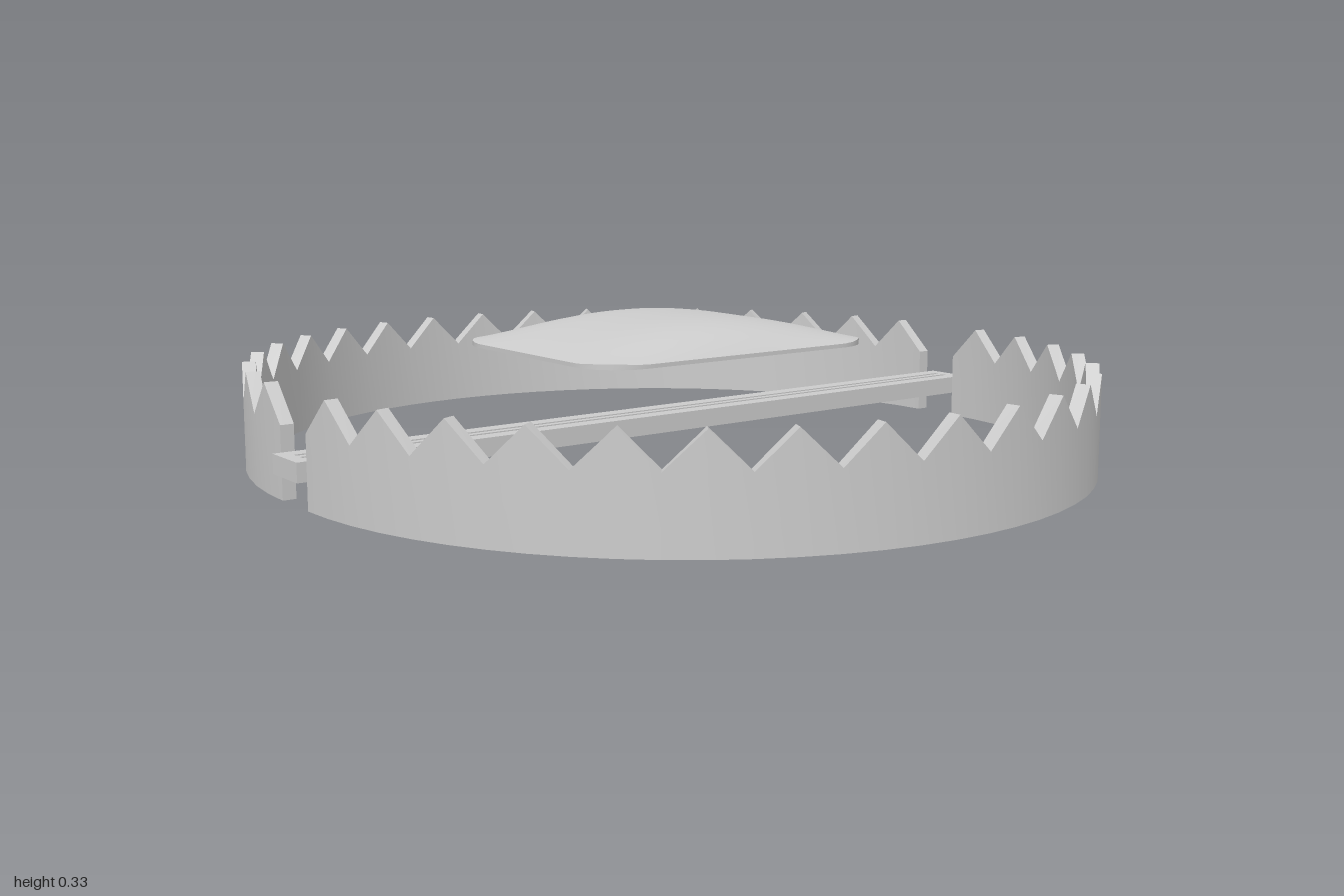
import * as THREE from 'three';
import { toCreasedNormals } from 'three/addons/utils/BufferGeometryUtils.js';

const material = new THREE.MeshStandardMaterial({ color: 0xcccccc });

// Skins a row of closed cross-sections and caps both ends.
function loft(sections, crease) {
  const pos = [];
  const tri = (a, b, c) => pos.push(...a, ...b, ...c);
  const n = sections[0].length;
  for (let i = 0; i < sections.length - 1; i++) {
    const s = sections[i], t = sections[i + 1];
    for (let k = 0; k < n; k++) {
      const m = (k + 1) % n;
      tri(s[k], s[m], t[m]);
      tri(s[k], t[m], t[k]);
    }
  }
  const first = sections[0], last = sections[sections.length - 1];
  for (let k = 1; k < n - 1; k++) {
    tri(first[0], first[k + 1], first[k]);
    tri(last[0], last[k], last[k + 1]);
  }
  const geometry = new THREE.BufferGeometry();
  geometry.setAttribute('position', new THREE.Float32BufferAttribute(pos, 3));
  return toCreasedNormals(geometry, crease);
}

// Half-ring band whose top edge zigzags into teeth.
function jawGeometry() {
  const outer = 0.94, inner = 0.91, teeth = 18;
  const sections = [];
  for (let i = 0; i <= teeth * 2; i++) {
    const a = -Math.PI / 2 + (Math.PI * i) / (teeth * 2);
    const top = i % 2 ? 0.235 : 0.157;
    const at = (r, y) => [0.06 + r * Math.cos(a), y, r * Math.sin(a)];
    sections.push([at(outer, 0), at(outer, top), at(inner, top), at(inner, 0)]);
  }
  return loft(sections, 0.5);
}

// Rounded rectangle, counter-clockwise.
function roundedRect(w, h, r) {
  const s = new THREE.Shape();
  s.moveTo(w, r - h);
  s.lineTo(w, h - r);
  s.absarc(w - r, h - r, r, 0, Math.PI / 2);
  s.lineTo(r - w, h);
  s.absarc(r - w, h - r, r, Math.PI / 2, Math.PI);
  s.lineTo(-w, r - h);
  s.absarc(r - w, r - h, r, Math.PI, Math.PI * 1.5);
  s.lineTo(w - r, -h);
  s.absarc(w - r, r - h, r, Math.PI * 1.5, Math.PI * 2);
  return s;
}

// Domed plate: flat underside, thin rim, crown falling off to the edges.
function plateGeometry() {
  const w = 0.305, d = 0.39;
  const outline = roundedRect(w, d, 0.11).getSpacedPoints(96).slice(0, -1);
  const crown = (x, z) => 0.266 + 0.063 * (1 - (x / w) ** 4) * (1 - (z / d) ** 2);
  const sections = [outline.map((p) => [p.x, 0.257, -p.y])];
  for (const s of [1, 0.96, 0.91, 0.85, 0.78, 0.7, 0.6, 0.48, 0.34, 0.18, 0.03]) {
    sections.push(outline.map((p) => [p.x * s, crown(p.x * s, p.y * s), -p.y * s]));
  }
  return loft(sections, 0.6);
}

function rectPath(path, x0, x1, z) {
  path.moveTo(x0, -z);
  path.lineTo(x1, -z);
  path.lineTo(x1, z);
  path.lineTo(x0, z);
  path.closePath();
  return path;
}

// Long flat bar with two narrow slots beside a thin middle strip.
function barGeometry() {
  const shape = rectPath(new THREE.Shape(), -0.057, 0.057, 0.96);
  shape.holes.push(rectPath(new THREE.Path(), -0.02, -0.008, 0.93));
  shape.holes.push(rectPath(new THREE.Path(), 0.008, 0.02, 0.93));
  const geometry = new THREE.ExtrudeGeometry(shape, { depth: 0.042, bevelEnabled: false });
  return geometry.rotateX(-Math.PI / 2).translate(0, 0.059, 0);
}

export function createModel() {
  const group = new THREE.Group();
  const add = (name, geometry) => {
    const mesh = new THREE.Mesh(geometry, material);
    mesh.name = name;
    group.add(mesh);
    return mesh;
  };
  const jaw = jawGeometry();
  add('leftJaw', jaw);
  add('rightJaw', jaw).rotation.y = Math.PI;
  add('baseBar', barGeometry());
  add('triggerPlate', plateGeometry());
  return group;
}
